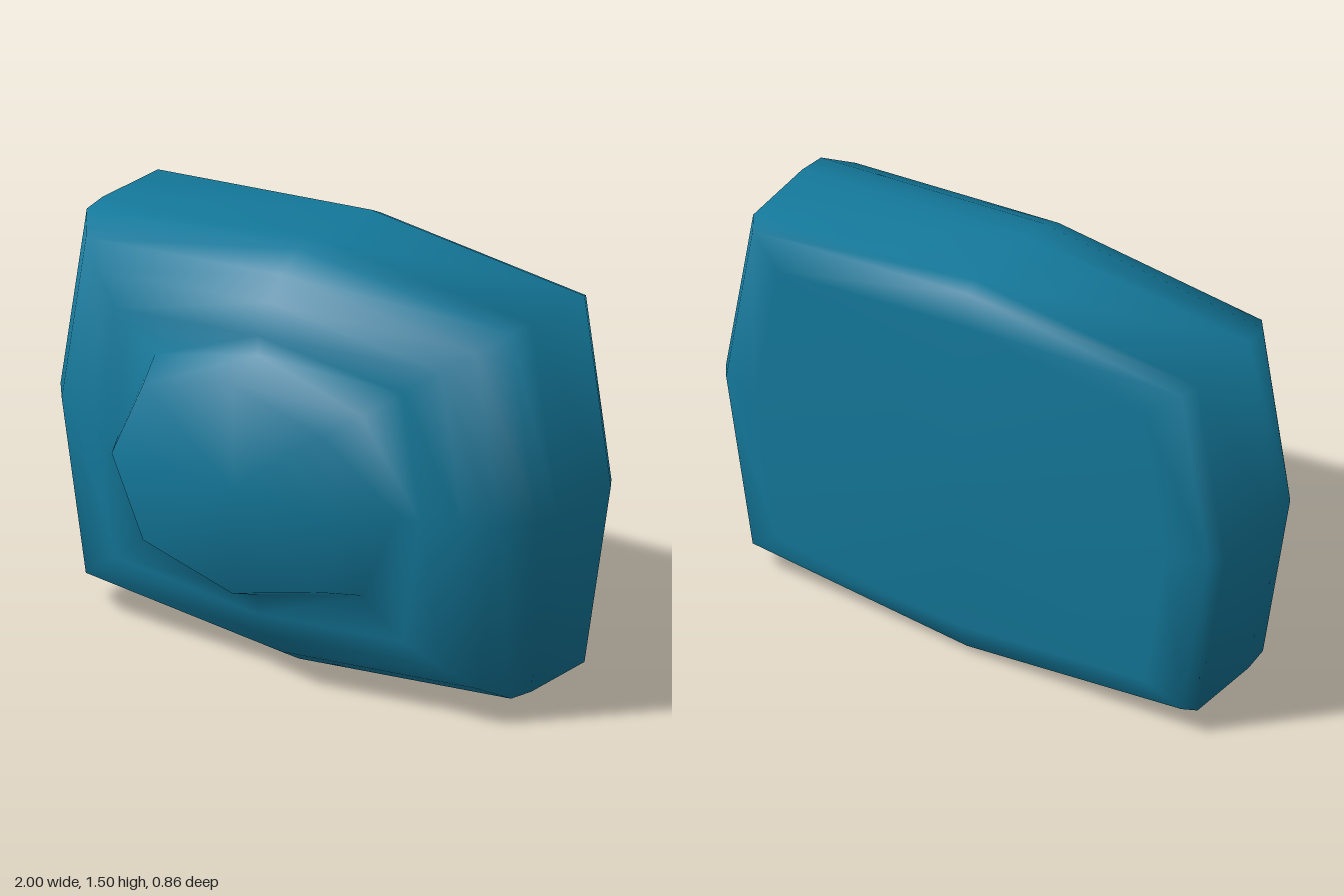
import * as THREE from 'three';

// Skin eight-point rings from back to front, closing both ends.
function loft(rings) {
  const n = rings[0].length, pos = [], index = [];
  for (const ring of rings) for (const p of ring) pos.push(...p);
  for (let r = 0; r < rings.length - 1; r++) {
    for (let i = 0; i < n; i++) {
      const a = r * n + i, b = r * n + (i + 1) % n;
      index.push(a, b, b + n, a, b + n, a + n);
    }
  }
  const back = pos.length / 3, front = back + 1, last = (rings.length - 1) * n;
  pos.push(0, 0, rings[0][0][2], 0, 0, rings[rings.length - 1][0][2]);
  for (let i = 0; i < n; i++) {
    const j = (i + 1) % n;
    index.push(back, j, i, front, last + i, last + j);
  }
  const geo = new THREE.BufferGeometry();
  geo.setAttribute('position', new THREE.Float32BufferAttribute(pos, 3));
  geo.setIndex(index);
  geo.computeVertexNormals();
  return geo;
}

// Symmetric octagon: side reach, corner and top reach.
function octagon(side, cx, cy, top, z) {
  return [[side, 0], [cx, cy], [0, top], [-cx, cy], [-side, 0], [-cx, -cy], [0, -top], [cx, -cy]]
    .map(([x, y]) => [x, y, z]);
}

export function createModel() {
  const group = new THREE.Group();

  // Pillow-shaped body: scale of the outline at each depth
  const body = [
    [-0.43, 0.82], [-0.39, 0.96], [-0.34, 0.995], [-0.04, 1],
    [0.06, 0.99], [0.16, 0.91], [0.225, 0.805], [0.285, 0.673],
  ].map(([z, s]) => octagon(s, 0.89 * s, 0.665 * s, 0.748 * s, z));

  // Tapered boss rising from the front face
  const boss = [
    octagon(0.58, 0.43, 0.325, 0.433, 0.285),
    octagon(0.5, 0.37, 0.28, 0.378, 0.43),
  ];

  const mesh = new THREE.Mesh(
    loft([...body, ...boss]),
    new THREE.MeshStandardMaterial({ color: 0x14789a })
  );
  mesh.name = 'bodyWithFrontBoss';
  mesh.position.y = 0.75;
  group.add(mesh);
  return group;
}
